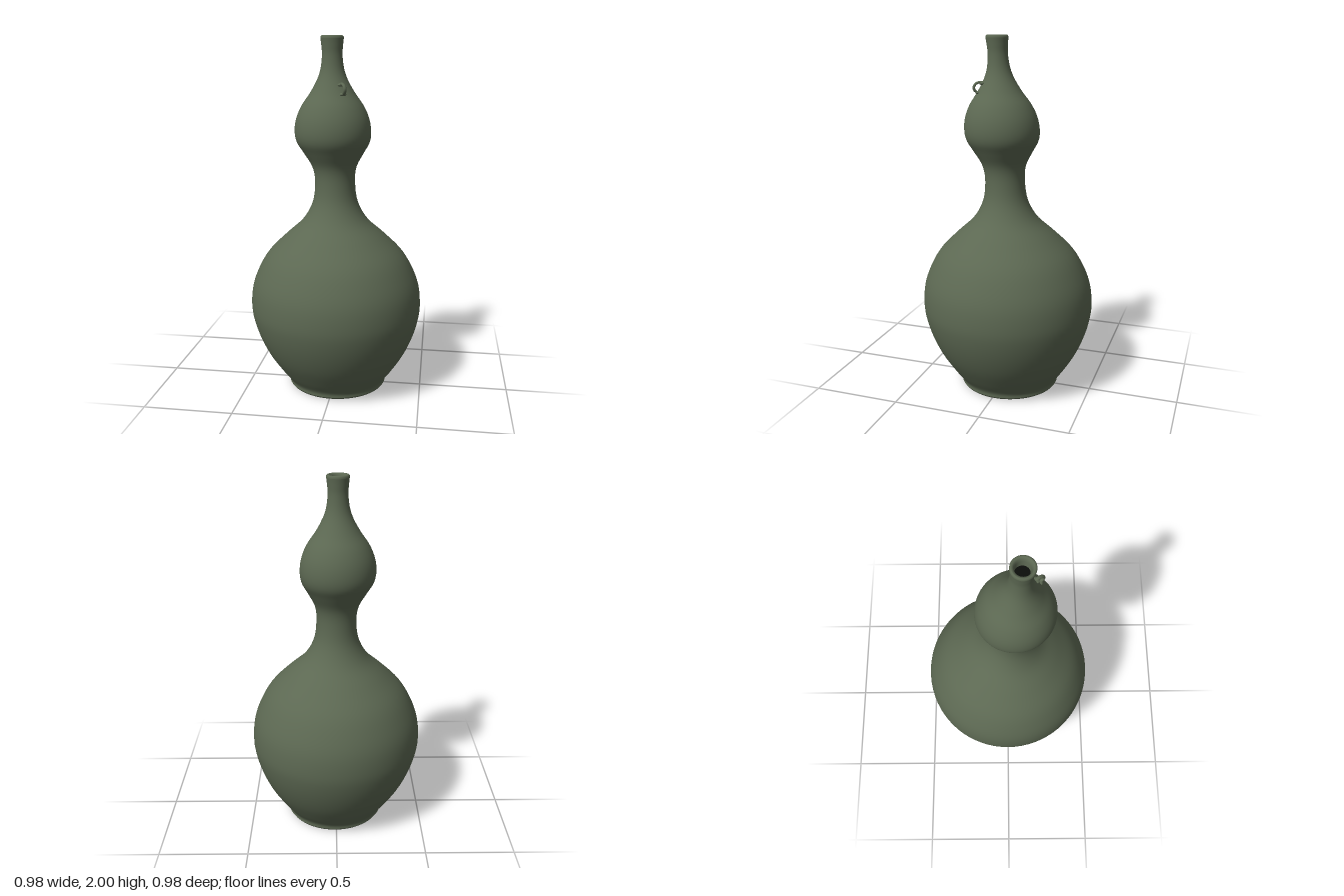
import * as THREE from 'three';

// Sideways drift of the hand-made body axis: [height, x, z]
const AXIS = [[0, 0.008, -0.015], [0.5, 0, 0], [1.2, -0.002, 0.018], [1.5, -0.012, 0.04], [2, -0.011, 0.068]];

function axisAt(y) {
  let i = 0;
  while (i < AXIS.length - 2 && y > AXIS[i + 1][0]) i++;
  const [y0, x0, z0] = AXIS[i];
  const [y1, x1, z1] = AXIS[i + 1];
  const t = THREE.MathUtils.clamp((y - y0) / (y1 - y0), 0, 1);
  return [x0 + (x1 - x0) * t, z0 + (z1 - z0) * t];
}

// Lathe whose rings follow the drifting axis
function leaningLathe(points) {
  const geometry = new THREE.LatheGeometry(points, 72);
  const p = geometry.attributes.position;
  for (let i = 0; i < p.count; i++) {
    const [dx, dz] = axisAt(p.getY(i));
    p.setX(i, p.getX(i) + dx);
    p.setZ(i, p.getZ(i) + dz);
  }
  return geometry;
}

export function createModel() {
  const group = new THREE.Group();
  const glaze = new THREE.MeshStandardMaterial({ color: 0x5c6852 });
  glaze.name = 'greenGlaze';
  const dark = new THREE.MeshStandardMaterial({ color: 0x0c0e0b });
  dark.name = 'darkHollow';

  const add = (name, geometry, material, parent = group) => {
    const mesh = new THREE.Mesh(geometry, material);
    mesh.name = name;
    parent.add(mesh);
    return mesh;
  };
  const vectors = (list) => list.map(([x, y]) => new THREE.Vector2(x, y));

  // Double-gourd body from foot to lip
  const wall = new THREE.SplineCurve(vectors([
    [0.283, 0.012], [0.289, 0.04], [0.333, 0.1], [0.398, 0.2], [0.445, 0.3], [0.476, 0.4],
    [0.488, 0.49], [0.478, 0.6], [0.442, 0.7], [0.382, 0.8], [0.282, 0.9], [0.184, 0.99],
    [0.128, 1.09], [0.112, 1.2], [0.122, 1.29], [0.165, 1.37], [0.2, 1.43], [0.21, 1.49],
    [0.2, 1.56], [0.17, 1.63], [0.122, 1.7], [0.083, 1.77], [0.063, 1.83], [0.055, 1.9],
    [0.058, 1.95], [0.062, 1.985],
  ])).getPoints(110);
  add('gourdBody', leaningLathe(wall), glaze);

  // Foot ring with a shallow recess underneath
  add('footRing', leaningLathe(vectors([
    [0, 0.028], [0.225, 0.026], [0.245, 0.018], [0.255, 0.004], [0.265, 0], [0.277, 0.003], [0.283, 0.012],
  ])), glaze);

  // Rounded lip turning into the mouth
  add('lip', leaningLathe(vectors([
    [0.062, 1.985], [0.062, 1.994], [0.057, 2], [0.05, 1.999], [0.043, 1.992], [0.039, 1.975], [0.037, 1.94],
  ])), glaze);

  // Dark hollow inside the mouth
  add('mouthHollow', leaningLathe(vectors([[0.037, 1.94], [0, 1.94]])), dark);

  // Small strap loop on the shoulder, in a frame whose z points outward
  const loop = new THREE.Group();
  loop.name = 'shoulderLoop';
  const [cx, cz] = axisAt(1.72);
  loop.position.set(cx, 1.72, cz);
  loop.rotation.y = 0.61;
  group.add(loop);
  const path = new THREE.CatmullRomCurve3([
    [0.085, 0.025], [0.112, 0.031], [0.137, 0.021], [0.146, 0.002], [0.138, -0.016], [0.115, -0.026],
  ].map(([z, y]) => new THREE.Vector3(0, y, z)));
  add('strap', new THREE.TubeGeometry(path, 24, 0.007, 10), glaze, loop).scale.x = 1.4;

  // Flared pads where the strap joins the shoulder
  for (const [y, z] of [[0.025, 0.1], [-0.024, 0.122]]) {
    const pad = add('strapPad', new THREE.SphereGeometry(1, 16, 10), glaze, loop);
    pad.position.set(0, y, z);
    pad.scale.set(0.02, 0.009, 0.015);
  }

  return group;
}
